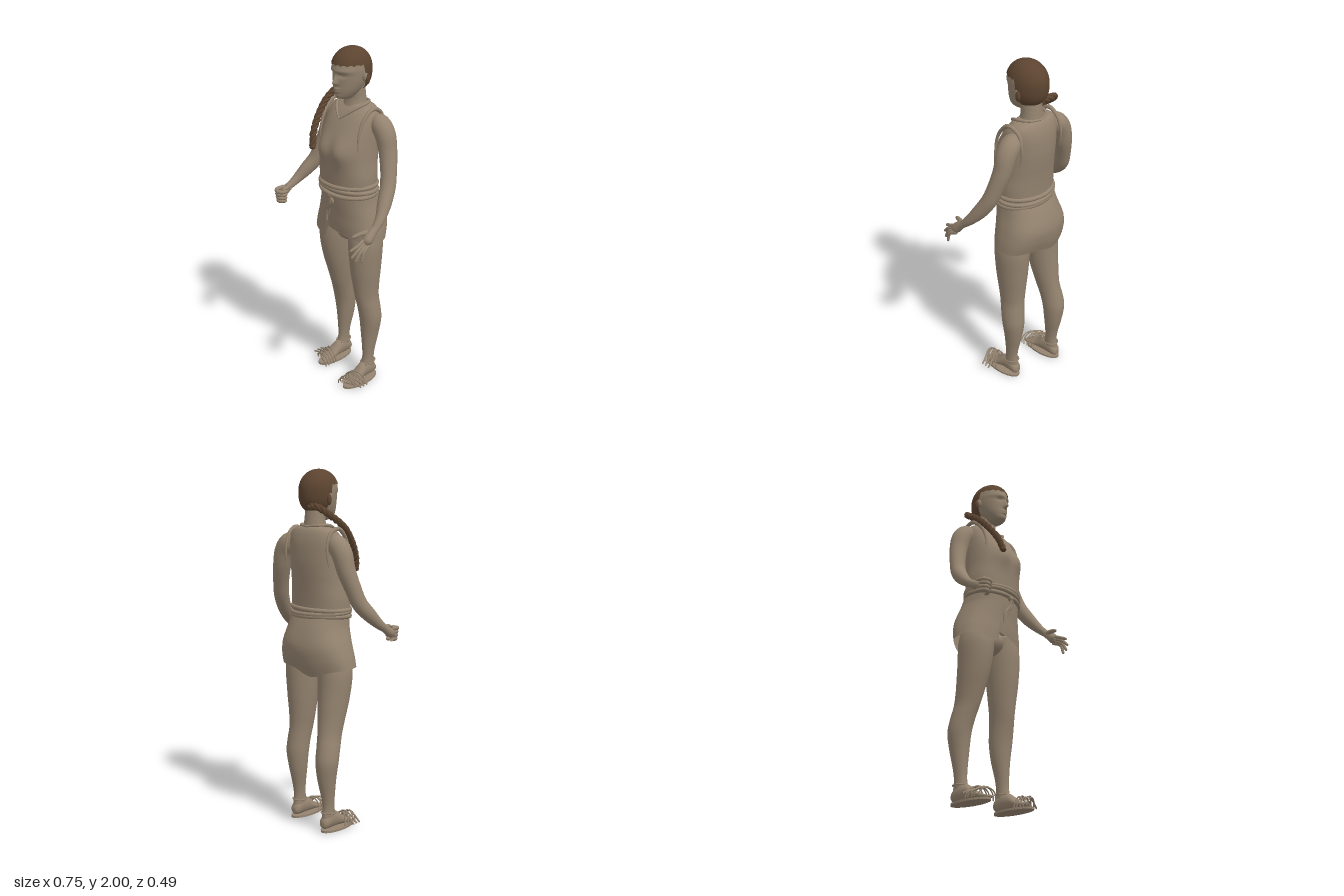
import * as THREE from 'three';
import { mergeVertices } from 'three/addons/utils/BufferGeometryUtils.js';

const V = (x, y, z) => new THREE.Vector3(x, y, z);
const bump = (d, s) => Math.exp(-(d * d) / (s * s));
const smooth = THREE.MathUtils.smoothstep;

// Catmull-Rom value through rows of numbers
function spline(rows, t) {
  const n = rows.length, i = Math.min(Math.floor(t), n - 2), f = t - i;
  const [a, b, c, d] = [rows[Math.max(i - 1, 0)], rows[i], rows[i + 1], rows[Math.min(i + 2, n - 1)]];
  return b.map((_, k) => b[k] + 0.5 * f * (c[k] - a[k] + f * (2 * a[k] - 5 * b[k] + 4 * c[k] - d[k]
    + f * (3 * (b[k] - c[k]) + d[k] - a[k]))));
}

// Oval sections, each row: y, centre x, front z, back z, half width
function loft(rows, { seg = 40, steps = 40, open = false, power = 2, shape = () => {} } = {}) {
  const pos = [], idx = [], e = 2 / power;
  const put = (x, y, z) => {
    const p = V(x, y, z);
    shape(p);
    pos.push(p.x, p.y, p.z);
  };
  for (let i = 0; i <= steps; i++) {
    const [y, cx, zf, zb, hw] = spline(rows, (i / steps) * (rows.length - 1));
    for (let j = 0; j < seg; j++) {
      const a = (j / seg) * Math.PI * 2, s = Math.sin(a), c = Math.cos(a);
      put(cx + hw * Math.sign(s) * Math.abs(s) ** e, y, (zf + zb) / 2 + ((zf - zb) / 2) * Math.sign(c) * Math.abs(c) ** e);
      if (i < steps) {
        const q = i * seg + j, r = i * seg + ((j + 1) % seg);
        idx.push(q, r, r + seg, q, r + seg, q + seg);
      }
    }
  }
  if (!open) {
    const end = steps * seg;
    for (const [y, cx, zf, zb] of [rows[0], rows[rows.length - 1]]) put(cx, y, (zf + zb) / 2);
    for (let j = 0; j < seg; j++) {
      const k = (j + 1) % seg;
      idx.push(end + seg, k, j, end + seg + 1, end + j, end + k);
    }
  }
  const g = new THREE.BufferGeometry();
  g.setAttribute('position', new THREE.Float32BufferAttribute(pos, 3));
  g.setIndex(idx);
  g.computeVertexNormals();
  return g;
}

// Tube whose radius changes along the way, each point: x, y, z, radius
function limb(points, { steps = 24, seg = 12, closed = false } = {}) {
  const curve = new THREE.CatmullRomCurve3(points.map((p) => V(p[0], p[1], p[2])), closed);
  const g = new THREE.TubeGeometry(curve, steps, 1, seg, closed);
  const at = g.attributes.position, p = V(0, 0, 0);
  for (let i = 0; i <= steps; i++) {
    const o = curve.getPointAt(i / steps);
    const t = curve.getUtoTmapping(i / steps) * (points.length - 1);
    const r = closed ? points[0][3] : spline(points.map((q) => [q[3]]), t)[0];
    for (let j = 0; j <= seg; j++) {
      const k = i * (seg + 1) + j;
      p.fromBufferAttribute(at, k).sub(o).multiplyScalar(Math.max(r, 0.0005)).add(o);
      at.setXYZ(k, p.x, p.y, p.z);
    }
  }
  return weld(g);
}

function weld(g) {
  g.deleteAttribute('uv');
  g.deleteAttribute('normal');
  const m = mergeVertices(g, 1e-5);
  m.computeVertexNormals();
  return m;
}

export function createModel() {
  const root = new THREE.Group();
  root.name = 'standingFigure';
  const tan = new THREE.MeshStandardMaterial({ name: 'tan', color: 0x94836f, side: THREE.DoubleSide });
  const brown = new THREE.MeshStandardMaterial({ name: 'hairBrown', color: 0x5c4430, side: THREE.DoubleSide });
  const add = (name, geo, mat = tan, parent = root) => {
    const m = new THREE.Mesh(geo, mat);
    m.name = name;
    parent.add(m);
    return m;
  };
  const ball = (name, x, y, z, sx, sy, sz, mat = tan, parent = root) => {
    const m = add(name, new THREE.SphereGeometry(1, 20, 14), mat, parent);
    m.position.set(x, y, z);
    m.scale.set(sx, sy, sz);
    return m;
  };

  // Head with the features raised out of its front
  add('head', loft([[1.725, 0, -0.005, -0.07, 0.02], [1.735, 0, 0.026, -0.08, 0.036], [1.75, 0, 0.037, -0.095, 0.049],
    [1.78, 0, 0.042, -0.13, 0.067], [1.82, 0, 0.043, -0.16, 0.081], [1.86, 0, 0.045, -0.175, 0.088],
    [1.9, 0, 0.049, -0.175, 0.089], [1.95, 0, 0.025, -0.15, 0.078], [1.985, 0, -0.03, -0.11, 0.04]], {
    seg: 120, steps: 96, shape(p) {
      if (p.z < -0.02) return;
      const { x, y } = p;
      const ramp = Math.max(0, y > 1.822 ? 1 - (y - 1.822) / 0.055 : 1 - (1.822 - y) / 0.016);
      p.z += 0.03 * bump(x, 0.012) * ramp
        - 0.009 * bump(Math.abs(x) - 0.035, 0.02) * bump(y - 1.864, 0.012)
        + 0.003 * bump(y - 1.886, 0.011)
        + 0.008 * bump(x, 0.02) * (bump(y - 1.789, 0.007) + bump(y - 1.775, 0.007))
        + 0.005 * bump(x, 0.025) * bump(y - 1.747, 0.014);
    },
  }));
  for (const s of [-1, 1]) {
    ball('eye', s * 0.035, 1.864, 0.02, 0.013, 0.007, 0.009);
    ball('ear', s * 0.09, 1.85, -0.082, 0.012, 0.026, 0.016).rotation.z = -s * 0.15;
    ball('earCoil', s * 0.098, 1.838, -0.093, 0.012, 0.03, 0.014, brown);
  }
  add('neck', loft([[1.62, 0, 0.0, -0.17, 0.12], [1.66, 0, -0.025, -0.166, 0.09], [1.69, 0, -0.037, -0.16, 0.067],
    [1.73, 0, -0.042, -0.155, 0.059], [1.79, 0, -0.03, -0.15, 0.056]]));

  // Hair cap: scalloped fringe, dropping low behind the ears
  const cap = new THREE.SphereGeometry(1, 120, 40, 0, Math.PI * 2, 0, 2);
  const cp = cap.attributes.position, uv = cap.attributes.uv;
  for (let i = 0; i < cp.count; i++) {
    const a = uv.getX(i) * Math.PI * 2, b = Math.PI - Math.abs(a - Math.PI);
    const hem = 1.914 + 0.007 * Math.abs(Math.sin(9 * a)) * (b < 1.6) - 0.136 * smooth(b, 1.5, 1.85);
    const c = Math.cos((1 - uv.getY(i)) * Math.acos((hem - 1.88) / 0.12)), p = c > 0 ? 2.1 : 2.6;
    const r = Math.max(0, 1 - Math.abs(c) ** p) ** (1 / p);
    cp.setXYZ(i, 0.1 * r * Math.sin(a), 1.88 + 0.12 * c, -0.068 + 0.122 * r * Math.cos(a));
  }
  add('hairCap', weld(cap), brown);

  // Braid: three strands twisted around one path over the right shoulder
  const path = new THREE.CatmullRomCurve3([V(-0.02, 1.8, -0.16), V(-0.085, 1.8, -0.172), V(-0.135, 1.75, -0.115),
    V(-0.155, 1.69, -0.035), V(-0.145, 1.6, 0.045), V(-0.127, 1.52, 0.095), V(-0.112, 1.455, 0.115)]);
  const N = 90, fr = path.computeFrenetFrames(N);
  for (let k = 0; k < 3; k++) {
    const pts = [];
    for (let i = 0; i <= N; i++) {
      const a = (i / N) * Math.PI * 11 + (k * Math.PI * 2) / 3;
      pts.push(path.getPointAt(i / N).addScaledVector(fr.normals[i], 0.0095 * Math.cos(a))
        .addScaledVector(fr.binormals[i], 0.0095 * Math.sin(a)));
    }
    add('braidStrand', new THREE.TubeGeometry(new THREE.CatmullRomCurve3(pts), 180, 0.0105, 8), brown);
  }
  ball('braidEnd', -0.112, 1.452, 0.116, 0.017, 0.014, 0.017, brown);

  // Sleeveless tunic with a fuller chest
  add('tunic', loft([[1.21, 0, 0.077, -0.175, 0.172], [1.3, 0, 0.083, -0.18, 0.175], [1.38, 0, 0.088, -0.187, 0.168],
    [1.45, 0, 0.086, -0.195, 0.166], [1.52, 0, 0.07, -0.2, 0.165], [1.6, 0, 0.03, -0.198, 0.162],
    [1.65, 0, -0.005, -0.188, 0.152], [1.68, 0, -0.035, -0.175, 0.128], [1.695, 0, -0.055, -0.16, 0.08]], {
    seg: 64, steps: 64, power: 2.3, shape(p) {
      if (p.z > 0) p.z += 0.024 * bump(Math.abs(p.x) - 0.065, 0.06) * bump(p.y - 1.45, 0.065);
    },
  }));
  for (const s of [-1, 1]) {
    add('collar', limb([[0, 1.618, 0.024, 0.003], [s * 0.035, 1.645, 0.004, 0.006], [s * 0.08, 1.685, -0.04, 0.008],
      [s * 0.09, 1.7, -0.09, 0.009], [s * 0.06, 1.7, -0.145, 0.007], [0, 1.695, -0.165, 0.006]]));
    add('armholeEdge', limb([[s * 0.152, 1.47, 0.025, 0.003], [s * 0.148, 1.55, 0.018, 0.007], [s * 0.148, 1.63, -0.015, 0.01],
      [s * 0.152, 1.685, -0.08, 0.012], [s * 0.148, 1.655, -0.145, 0.01], [s * 0.152, 1.56, -0.172, 0.007],
      [s * 0.155, 1.48, -0.16, 0.003]]));
  }

  // Rope belt: three loops, a knot and two hanging ends
  for (let k = 0; k < 3; k++) {
    const pts = [];
    for (let i = 0; i < 24; i++) {
      const a = (i / 24) * Math.PI * 2;
      pts.push([0.175 * Math.sin(a), 1.246 - k * 0.022 + 0.006 * Math.sin(a + k * 2), -0.05 + 0.136 * Math.cos(a), 0.0125]);
    }
    add('beltRope', limb(pts, { steps: 72, seg: 8, closed: true }));
  }
  ball('beltKnot', -0.005, 1.19, 0.086, 0.02, 0.018, 0.014);
  add('beltEnd', limb([[0, 1.19, 0.09, 0.009], [-0.01, 1.14, 0.084, 0.009], [-0.04, 1.09, 0.077, 0.009], [-0.05, 1.02, 0.072, 0.007]]));
  add('beltEnd', limb([[-0.01, 1.19, 0.09, 0.008], [0.015, 1.16, 0.086, 0.008], [-0.015, 1.11, 0.08, 0.008], [-0.032, 1.06, 0.074, 0.006]]));

  // Wrapped skirt with an uneven hem
  add('skirt', loft([[0.9, 0, 0.052, -0.208, 0.22], [0.97, 0, 0.058, -0.23, 0.214], [1.05, 0, 0.062, -0.238, 0.199],
    [1.14, 0, 0.07, -0.214, 0.178], [1.225, 0, 0.076, -0.178, 0.166]], {
    seg: 96, steps: 40, open: true, power: 2.4, shape(p) {
      const front = smooth(p.z, -0.12, -0.02);
      const wrap = smooth(p.x, -0.075, -0.055);
      const frontHem = (0.905 + 0.2 * Math.max(0, -p.x - 0.09)) * (1 - wrap) + (0.972 - 0.17 * (p.x + 0.05)) * wrap;
      const backHem = 0.925 - 0.045 * bump(p.x + 0.06, 0.09);
      const hem = frontHem * front + backHem * (1 - front);
      const low = Math.max(0, 1.15 - p.y) / 0.25;
      if (p.x < 0) p.x *= 1 + 0.1 * low;
      p.z += 0.006 * (1 - wrap) * front * low;
      p.y += low * (hem - 0.9);
    },
  }));
  ball('pelvis', 0, 0.95, -0.08, 0.07, 0.075, 0.1);

  // Legs, feet and strapped sandals; the right leg stands further back
  for (const s of [-1, 1]) {
    const name = s > 0 ? 'left' : 'right';
    const back = s > 0 ? 0 : -0.065;
    const leg = [[0.045, 0.14, -0.035, -0.128, 0.03], [0.09, 0.14, -0.035, -0.125, 0.031],
      [0.14, 0.14, -0.045, -0.12, 0.031], [0.2, 0.14, -0.045, -0.128, 0.036], [0.3, 0.139, -0.04, -0.15, 0.051],
      [0.4, 0.141, -0.03, -0.163, 0.063], [0.48, 0.136, -0.016, -0.158, 0.063], [0.55, 0.128, -0.002, -0.153, 0.063],
      [0.63, 0.124, 0.01, -0.156, 0.071], [0.75, 0.122, 0.027, -0.167, 0.083], [0.9, 0.119, 0.036, -0.175, 0.092],
      [1.0, 0.105, 0.025, -0.165, 0.08]];
    add(name + 'Leg', loft(leg.map(([y, cx, ...rest]) => [y, s * cx, ...rest]), {
      steps: 60, shape(p) {
        p.z += back * (1 - smooth(p.y, 0.35, 0.9));
      },
    }));
    const foot = new THREE.Group();
    foot.name = name + 'Foot';
    foot.position.set(s * 0.14, 0, back);
    foot.scale.x = s;
    root.add(foot);
    add('footBody', loft([[-0.135, 0, -0.03, -0.06, 0.015], [-0.12, 0, -0.018, -0.085, 0.029], [-0.08, 0, -0.015, -0.115, 0.034],
      [-0.03, 0, -0.015, -0.105, 0.034], [0.02, 0.004, -0.015, -0.066, 0.04], [0.06, 0.005, -0.015, -0.045, 0.042],
      [0.078, 0.005, -0.018, -0.036, 0.036]]).rotateX(Math.PI / 2), tan, foot);
    for (let k = 0; k < 5; k++) {
      ball('toe', -0.026 + k * 0.0155, 0.025, 0.09 - k * 0.007, k ? 0.008 : 0.011, 0.01, 0.02, tan, foot);
    }
    const sole = add('sandalSole', new THREE.CylinderGeometry(1, 1, 0.012, 40), tan, foot);
    sole.scale.set(0.054, 1, 0.128);
    sole.position.set(0.004, 0.006, -0.01);
    for (let k = 0; k < 5; k++) {
      const hoop = add('sandalStrap', new THREE.TorusGeometry(0.056 + 0.004 * (k % 2), 0.004, 6, 24, Math.PI), tan, foot);
      hoop.position.set(0.004, 0.012, 0.012 + k * 0.021);
      hoop.scale.y = 1.25 - k * 0.08;
      hoop.rotation.set(0.25, 0.3, 0);
    }
    for (let k = 0; k < 3; k++) {
      add('strapEnd', limb([[0.0, 0.07, 0.1 - k * 0.025, 0.005], [0.05, 0.055, 0.085 - k * 0.025, 0.005],
        [0.1, 0.03, 0.07 - k * 0.025, 0.005]], { steps: 8, seg: 8 }), tan, foot);
    }
    const strap = add('ankleStrap', new THREE.TorusGeometry(0.037, 0.004, 6, 32), tan, foot);
    strap.position.set(0, 0.105, -0.08);
    strap.rotation.x = Math.PI / 2 + 0.1;
    strap.scale.y = 1.25;
  }

  // Arms
  const upper = (s) => [[s * 0.12, 1.62, -0.11, 0.03], [s * 0.165, 1.605, -0.115, 0.054], [s * 0.207, 1.56, -0.117, 0.057],
    [s * 0.236, 1.47, -0.114, 0.051], [s * 0.267, 1.37, -0.092, 0.045], [s * 0.29, 1.29, -0.065, 0.043]];
  add('leftArm', limb([...upper(1), [0.315, 1.21, -0.015, 0.039], [0.338, 1.145, 0.038, 0.028], [0.346, 1.1, 0.085, 0.021]], { steps: 48, seg: 24 }));
  add('rightArm', limb([...upper(-1), [-0.318, 1.23, -0.02, 0.039], [-0.341, 1.175, 0.035, 0.028], [-0.35, 1.14, 0.085, 0.021]], { steps: 48, seg: 24 }));

  // Open left hand
  add('leftPalm', limb([[0.346, 1.11, 0.075, 0.02], [0.344, 1.085, 0.105, 0.025], [0.344, 1.05, 0.14, 0.028], [0.344, 1.03, 0.155, 0.012]]));
  [[0.322, 1.015, 0.24], [0.334, 0.98, 0.243], [0.346, 0.957, 0.225], [0.36, 0.95, 0.195]].forEach(([x, y, z], k) => {
    add('leftFinger', limb([[0.335 + k * 0.006, 1.062 - k * 0.011, 0.145 - k * 0.005, 0.01],
      [0.336 + k * 0.008, (1.06 + y) / 2, (0.16 + z) / 2, 0.0095], [x, y, z, 0.007], [x, y - 0.004, z + 0.004, 0.001]]));
  });
  add('leftThumb', limb([[0.335, 1.09, 0.1, 0.014], [0.312, 1.085, 0.145, 0.013], [0.29, 1.07, 0.19, 0.009], [0.286, 1.065, 0.2, 0.001]]));

  // Closed right hand
  add('rightPalm', limb([[-0.35, 1.15, 0.075, 0.02], [-0.353, 1.13, 0.1, 0.024], [-0.355, 1.112, 0.135, 0.025], [-0.358, 1.105, 0.155, 0.01]]));
  for (let k = 0; k < 4; k++) {
    const y = 1.14 - k * 0.02, d = k * 0.003;
    add('rightFinger', limb([[-0.361, y, 0.125, 0.012], [-0.362 + d, y - 0.002, 0.17, 0.012], [-0.34, y - 0.004, 0.188 - d, 0.012],
      [-0.312 - d, y - 0.005, 0.178 - d, 0.011], [-0.305 - d, y - 0.005, 0.15, 0.01], [-0.315 - d, y - 0.005, 0.14, 0.002]]));
  }
  add('rightThumb', limb([[-0.345, 1.145, 0.1, 0.014], [-0.322, 1.147, 0.13, 0.012], [-0.318, 1.146, 0.16, 0.01], [-0.325, 1.145, 0.172, 0.001]]));
  return root;
}
